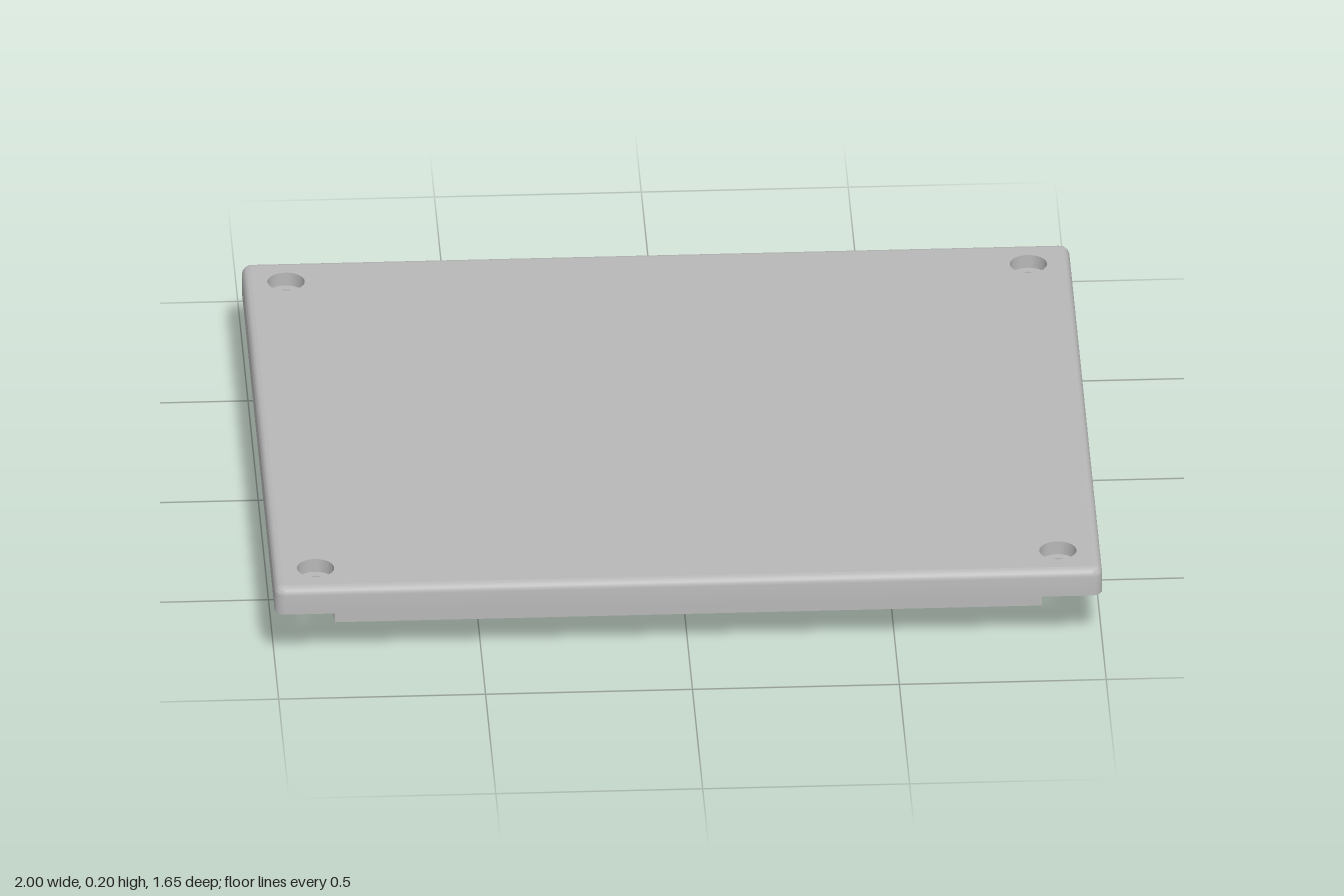
import * as THREE from 'three';
import { toCreasedNormals } from 'three/addons/utils/BufferGeometryUtils.js';

const W = 1, D = 0.823, BOTTOM = 0.135, TOP = 0.205, EDGE = 0.02;
const HOLE_X = 0.897, HOLE_Z = 0.72, BORE = 0.025, SINK = 0.045, SINK_Y = 0.17;
const SIDES = [-1, 1];

// Outline of a rounded rectangle, counter-clockwise
function outline(inset) {
  const r = 0.026 - inset, pts = [];
  for (let c = 0; c < 4; c++) {
    const cx = (c === 0 || c === 3 ? 1 : -1) * (W - inset - r);
    const cy = (c < 2 ? 1 : -1) * (D - inset - r);
    for (let i = 0; i <= 5; i++) {
      const a = (c + i / 5) * Math.PI / 2;
      pts.push(new THREE.Vector2(cx + r * Math.cos(a), cy + r * Math.sin(a)));
    }
  }
  return pts;
}

// Flat face of the lid with four round openings
function face(inset, holeRadius) {
  const shape = new THREE.Shape(outline(inset));
  for (const sx of SIDES) for (const sz of SIDES) {
    shape.holes.push(new THREE.Path().absarc(sx * HOLE_X, sz * HOLE_Z, holeRadius, 0, Math.PI * 2, true));
  }
  return new THREE.ShapeGeometry(shape, 16);
}

// Lid rim: vertical wall rolling into a rounded top edge
function rim() {
  const rings = [[0, BOTTOM]];
  for (let i = 0; i <= 5; i++) {
    const a = i / 5 * Math.PI / 2;
    rings.push([EDGE * (1 - Math.cos(a)), TOP - EDGE + EDGE * Math.sin(a)]);
  }
  const pos = [], index = [];
  let n = 0;
  rings.forEach(([inset, y], k) => {
    const pts = outline(inset);
    n = pts.length;
    pts.forEach((p, i) => {
      pos.push(p.x, y, -p.y);
      if (k === 0) return;
      const j = (i + 1) % n, a = (k - 1) * n, b = k * n;
      index.push(a + i, a + j, b + j, a + i, b + j, b + i);
    });
  });
  const g = new THREE.BufferGeometry();
  g.setAttribute('position', new THREE.Float32BufferAttribute(pos, 3));
  g.setIndex(index);
  return toCreasedNormals(g, 0.6);
}

export function createModel() {
  const model = new THREE.Group();
  model.name = 'snapOnCover';
  const plastic = new THREE.MeshStandardMaterial({ color: 0xb8b8b8 });
  plastic.name = 'greyPlastic';
  const lining = new THREE.MeshStandardMaterial({ color: 0xb8b8b8, side: THREE.DoubleSide });
  lining.name = 'greyPlasticLining';

  const add = (name, geometry, parent = model, material = plastic) => {
    const mesh = new THREE.Mesh(geometry, material);
    mesh.name = name;
    parent.add(mesh);
    return mesh;
  };
  const box = (name, w, h, d, x, y, z, parent) =>
    add(name, new THREE.BoxGeometry(w, h, d), parent).position.set(x, y, z);

  // Lid
  const lid = new THREE.Group();
  lid.name = 'lid';
  model.add(lid);
  add('lidRim', rim(), lid);
  add('lidTop', face(EDGE, SINK).rotateX(-Math.PI / 2).translate(0, TOP, 0), lid);
  add('lidUnderside', face(0, BORE).rotateX(Math.PI / 2).translate(0, BOTTOM, 0), lid);

  // Stepped screw holes
  const profile = [[BORE, BOTTOM], [BORE, SINK_Y], [SINK, SINK_Y], [SINK, TOP]]
    .map(([r, y]) => new THREE.Vector2(r, y));
  const holeGeometry = toCreasedNormals(new THREE.LatheGeometry(profile, 32), 0.6);
  for (const sx of SIDES) for (const sz of SIDES) {
    add('screwHole', holeGeometry, lid, lining).position.set(sx * HOLE_X, 0, sz * HOLE_Z);
  }

  // Locating ribs below the lid
  const ribH = 0.045, ribY = 0.1125;
  for (const s of SIDES) {
    box(s > 0 ? 'frontRib' : 'backRib', 1.71, ribH, 0.032, 0, ribY, s * 0.769);
    box(s > 0 ? 'leftRib' : 'rightRib', 0.032, ribH, 1.366, s * 0.941, ribY, 0);
  }

  // Snap clips with a rounded catch on the outside
  for (const sx of SIDES) for (const sz of SIDES) {
    const clip = new THREE.Group();
    clip.name = 'snapClip';
    clip.position.set(sx * 0.94, 0, sz * 0.353);
    model.add(clip);
    box('clipTab', 0.026, 0.092, 0.182, -sx * 0.002, 0.046, 0, clip);
    const bead = new THREE.CylinderGeometry(0.017, 0.017, 0.174, 20).rotateX(Math.PI / 2);
    add('clipCatch', bead, clip).position.set(sx * 0.011, 0.03, 0);
  }
  return model;
}
